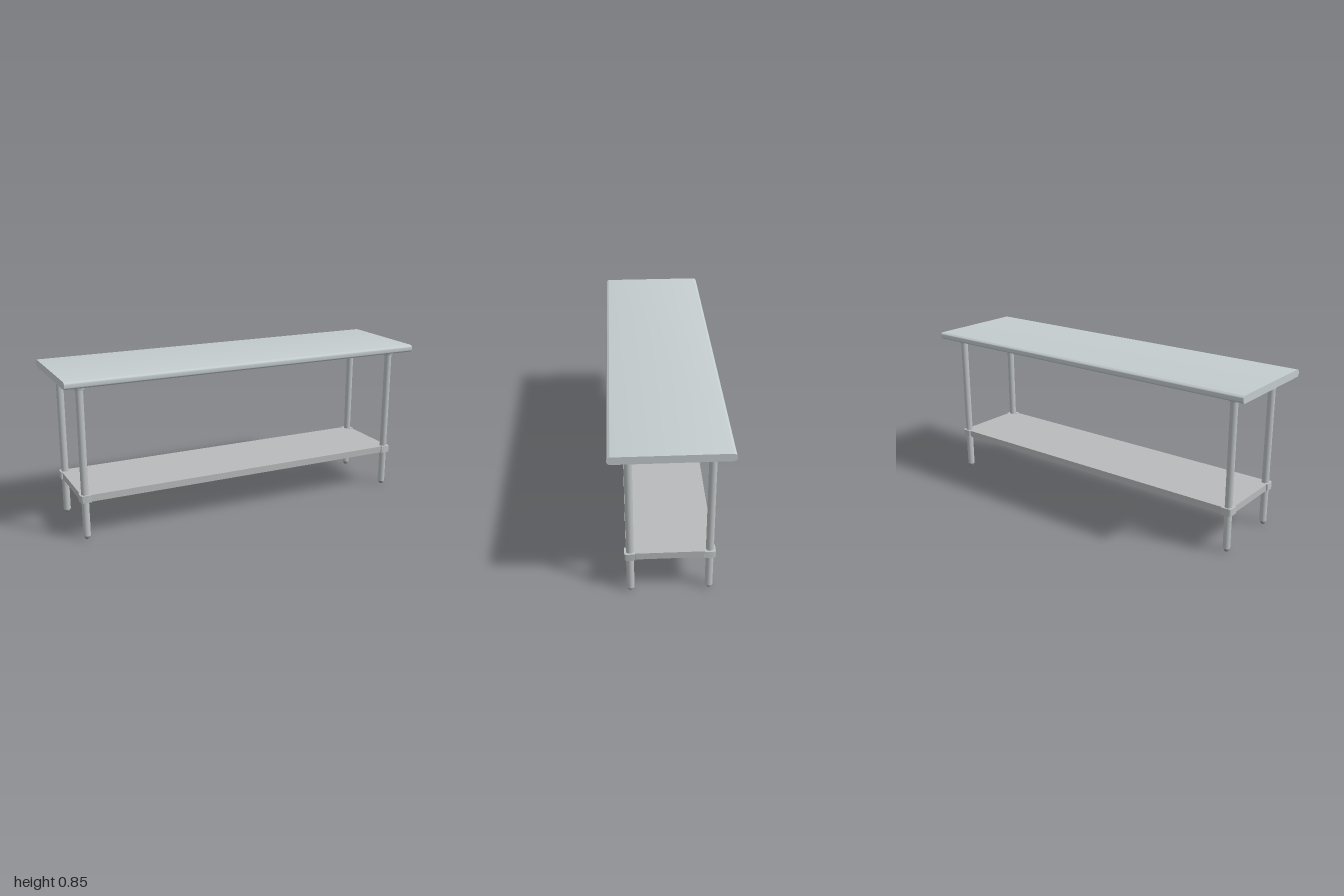
import * as THREE from 'three';
import { toCreasedNormals } from 'three/addons/utils/BufferGeometryUtils.js';

const steel = (color) => new THREE.MeshStandardMaterial({ color, side: THREE.DoubleSide });
const topSteel = steel(0xc4ccce), shelfSteel = steel(0xb8babb), legSteel = steel(0xbcc1c3);
const footGrey = steel(0x8e9294);

function add(parent, name, geometry, material, x = 0, y = 0, z = 0) {
  const mesh = new THREE.Mesh(geometry, material);
  mesh.name = name;
  mesh.position.set(x, y, z);
  parent.add(mesh);
  return mesh;
}

function extrude(shape, depth) {
  const geometry = new THREE.ExtrudeGeometry(shape, { depth, bevelEnabled: false, curveSegments: 16 });
  return toCreasedNormals(geometry, 0.6);
}

// Profile in z and y, run along x and centred
const alongX = (shape, length) => extrude(shape, length).translate(0, 0, -length / 2).rotateY(Math.PI / 2);
// Plan outline, raised upwards from y = 0
const upwards = (shape, height) => extrude(shape, height).rotateX(-Math.PI / 2);

// Rectangle with its four corners cut off
function cutCornerPoints(x, z, cut) {
  return [[x, -z + cut], [x, z - cut], [x - cut, z], [-x + cut, z],
    [-x, z - cut], [-x, -z + cut], [-x + cut, -z], [x - cut, -z]]
    .map(([a, b]) => new THREE.Vector2(a, b));
}

function tableTop() {
  const group = new THREE.Group();
  group.name = 'tableTop';
  const r = 0.0195, t = 0.004, c = 0.266, lip = 0.248, q = Math.PI / 2;

  // Folded sheet with rolled long edges, open underneath
  const sheet = new THREE.Shape();
  sheet.moveTo(lip, -r);
  sheet.absarc(c, 0, r, -q, q, false);
  sheet.absarc(-c, 0, r, q, 3 * q, false);
  sheet.lineTo(-lip, -r);
  sheet.lineTo(-lip, -r + t);
  sheet.absarc(-c, 0, r - t, 3 * q, q, true);
  sheet.absarc(c, 0, r - t, q, -q, true);
  sheet.lineTo(lip, -r + t);
  sheet.closePath();
  add(group, 'rolledSheet', alongX(sheet, 1.992), topSteel);

  // Flat plates close the two short ends
  const end = new THREE.Shape();
  end.absarc(c, 0, r, -q, q, false);
  end.absarc(-c, 0, r, q, 3 * q, false);
  for (const s of [-1, 1]) {
    add(group, 'endPlate', alongX(end, 0.004), topSteel, s * 0.998);
    add(group, 'endFlange', new THREE.BoxGeometry(0.024, 0.003, 0.5), topSteel, s * 0.986, -r + 0.003);
    // Channels that carry the legs
    add(group, 'underRail', new THREE.BoxGeometry(1.92, 0.032, 0.05), topSteel, 0, -0.002, s * 0.192);
  }
  group.position.y = 0.8275;
  return group;
}

function lowerShelf() {
  const group = new THREE.Group();
  group.name = 'lowerShelf';
  const outline = cutCornerPoints(0.925, 0.212, 0.049);
  add(group, 'shelfPanel', upwards(new THREE.Shape(outline), 0.004), shelfSteel, 0, 0.235);
  const skirt = new THREE.Shape(outline);
  skirt.holes.push(new THREE.Path(cutCornerPoints(0.921, 0.208, 0.047).reverse()));
  add(group, 'shelfSkirt', upwards(skirt, 0.032), shelfSteel, 0, 0.203);
  return group;
}

function leg(turn) {
  const group = new THREE.Group();
  group.name = 'leg';
  add(group, 'legTube', new THREE.CylinderGeometry(0.019, 0.019, 0.775, 32), legSteel, 0, 0.4045);

  // Tapered socket under the top
  const socket = [[0.019, 0.783], [0.025, 0.783], [0.026, 0.787], [0.0285, 0.806], [0.0285, 0.81], [0, 0.81]];
  const socketGeometry = new THREE.LatheGeometry(socket.map(([a, b]) => new THREE.Vector2(a, b)), 32);
  add(group, 'legSocket', toCreasedNormals(socketGeometry, 0.5), legSteel);

  // Bullet foot
  const foot = [[0, 0], [0.009, 0], [0.011, 0.002], [0.015, 0.014], [0.015, 0.018]];
  const footGeometry = new THREE.LatheGeometry(foot.map(([a, b]) => new THREE.Vector2(a, b)), 32);
  add(group, 'foot', toCreasedNormals(footGeometry, 0.5), footGrey);

  // Corner clamp wrapping the outside of the leg
  const o = 0.027, b = 0.012;
  const clamp = new THREE.Shape();
  clamp.moveTo(o, -o);
  clamp.lineTo(o, o - b);
  clamp.absarc(o - b, o - b, b, 0, Math.PI / 2, false);
  clamp.lineTo(-o, o);
  clamp.lineTo(-o, 0.011);
  clamp.lineTo(0.011, -o);
  clamp.closePath();
  const bracket = add(group, 'cornerClamp', upwards(clamp, 0.038), legSteel, 0, 0.202);
  bracket.rotation.y = turn;
  return group;
}

export function createModel() {
  const model = new THREE.Group();
  model.name = 'workTable';
  model.add(tableTop(), lowerShelf());

  // Four legs, each clamp turned to face its own corner
  [[1, -1], [-1, -1], [-1, 1], [1, 1]].forEach(([sx, sz], i) => {
    const part = leg(i * Math.PI / 2);
    part.position.set(sx * 0.905, 0, sz * 0.192);
    model.add(part);
  });
  return model;
}
